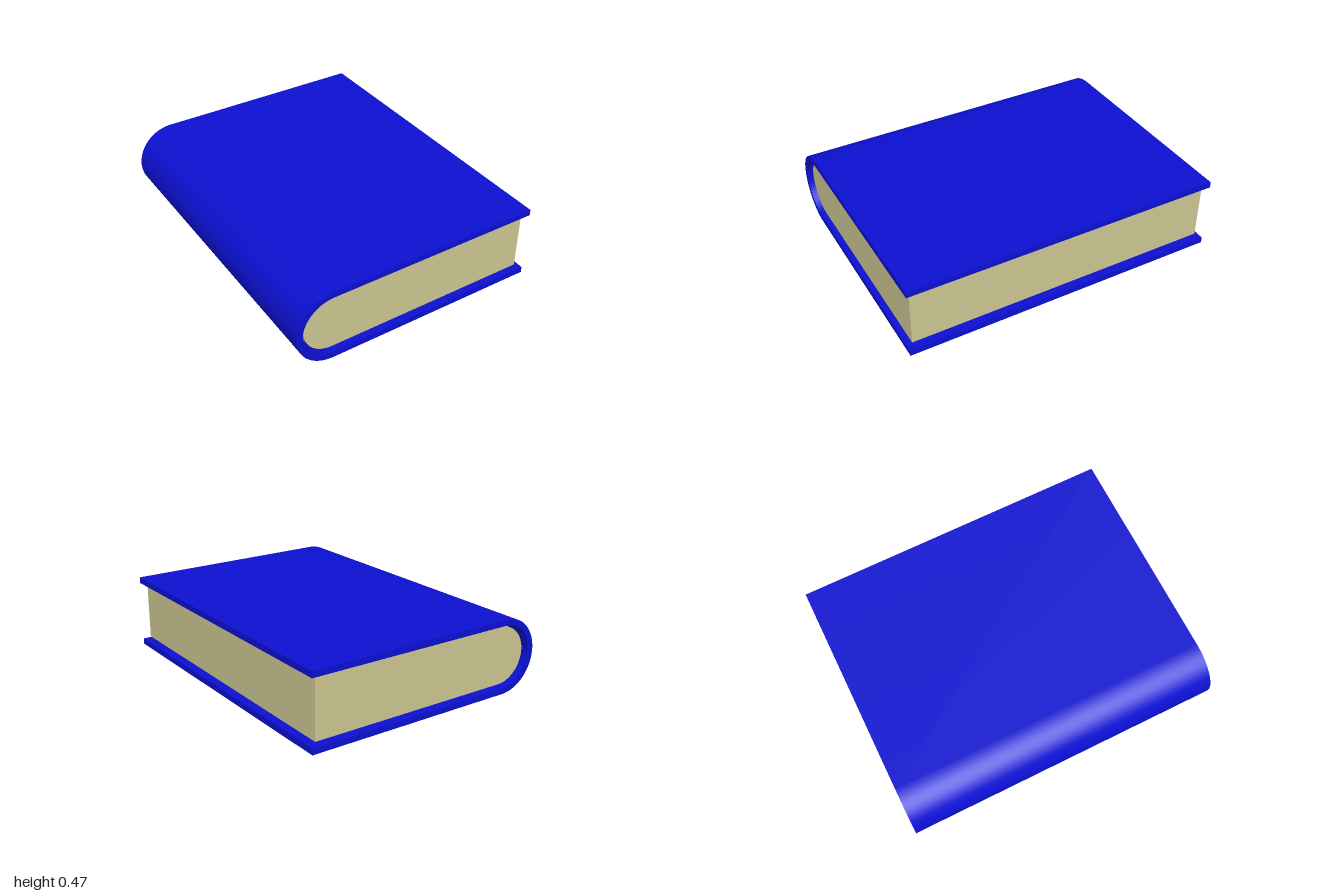
import * as THREE from 'three';
import { toCreasedNormals } from 'three/addons/utils/BufferGeometryUtils.js';

const MID_Y = 0.233;       // height of the spine's axis
const HALF = Math.PI / 2;

// Extrudes a profile along z, centred, with smooth curves and sharp edges
function extrudePart(name, shape, depth, color) {
  const geometry = new THREE.ExtrudeGeometry(shape, { depth, bevelEnabled: false, curveSegments: 24 });
  geometry.translate(0, 0, -depth / 2);
  const mesh = new THREE.Mesh(
    toCreasedNormals(geometry, 0.5),
    new THREE.MeshStandardMaterial({ color })
  );
  mesh.name = name;
  return mesh;
}

// Half-round outline open to the right: lower edge, spine arc, upper edge
function startOutline(right, arcX, radius) {
  const shape = new THREE.Shape();
  shape.moveTo(right, MID_Y - radius);
  shape.lineTo(arcX, MID_Y - radius);
  shape.absarc(arcX, MID_Y, radius, -HALF, HALF, true);
  shape.lineTo(right, MID_Y + radius);
  return shape;
}

export function createModel() {
  const book = new THREE.Group();
  book.name = 'book';

  // Cover: both boards and the rounded spine in one U-shaped profile
  const right = 0.795, arcX = -0.562, outer = 0.233, inner = 0.195;
  const coverShape = startOutline(right, arcX, outer);
  coverShape.lineTo(right, MID_Y + inner);
  coverShape.lineTo(arcX, MID_Y + inner);
  coverShape.absarc(arcX, MID_Y, inner, HALF, -HALF, false);
  coverShape.lineTo(right, MID_Y - inner);
  coverShape.closePath();
  book.add(extrudePart('cover', coverShape, 2, 0x0c10d0));

  // Page block: solid, set in from the boards with a thin gap all round
  const pageShape = startOutline(0.757, -0.555, 0.179);
  pageShape.closePath();
  book.add(extrudePart('pages', pageShape, 1.94, 0xcbc692));

  return book;
}
